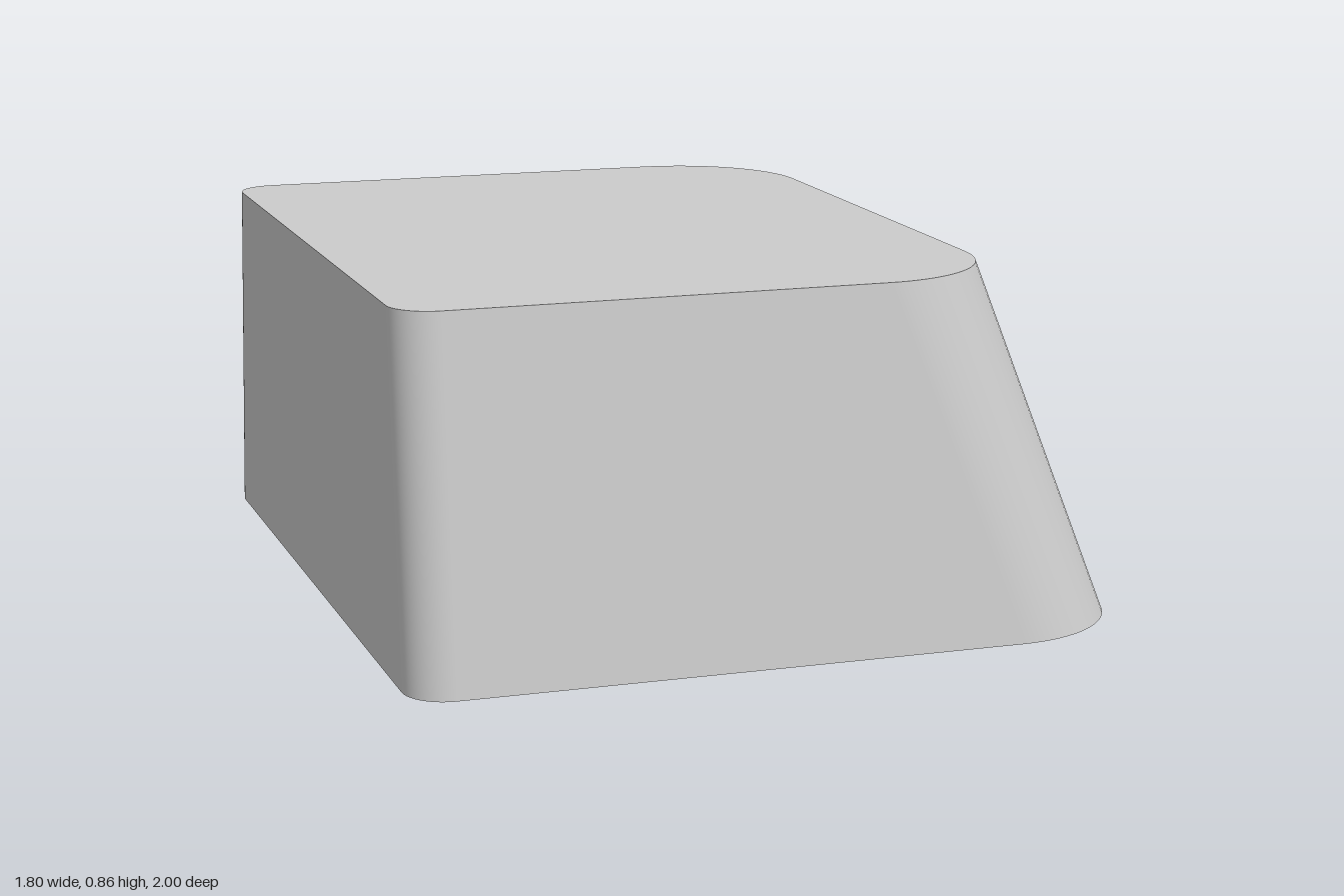
import * as THREE from 'three';

const HEIGHT = 0.855;
const SEGMENTS = 16; // per corner

// Rounded outline in x and z: small radii at the left, large ones at the right
function outline(x0, x1, halfZ, y) {
  const small = 0.1, large = 0.32;
  const corners = [
    [x1 - large, halfZ - large, large],
    [x0 + small, halfZ - small, small],
    [x0 + small, -halfZ + small, small],
    [x1 - large, -halfZ + large, large],
  ];
  const points = [];
  corners.forEach(([cx, cz, r], k) => {
    for (let i = 0; i <= SEGMENTS; i++) {
      const a = (k + i / SEGMENTS) * Math.PI / 2;
      points.push(new THREE.Vector3(cx + r * Math.cos(a), y, cz + r * Math.sin(a)));
    }
  });
  return points;
}

function indexed(points, index) {
  const geometry = new THREE.BufferGeometry().setFromPoints(points);
  geometry.setIndex(index);
  geometry.computeVertexNormals();
  return geometry;
}

// Smooth wall between two outlines
function wall(lower, upper) {
  const n = lower.length, index = [];
  for (let i = 0; i < n; i++) {
    const j = (i + 1) % n;
    index.push(i, n + i, n + j, i, n + j, j);
  }
  return indexed([...lower, ...upper], index);
}

// Flat fan closing an outline
function cap(loop, facesUp) {
  const n = loop.length, index = [];
  for (let i = 0; i < n; i++) {
    const j = (i + 1) % n;
    index.push(n, ...(facesUp ? [j, i] : [i, j]));
  }
  return indexed([...loop, new THREE.Vector3(0, loop[0].y, 0)], index);
}

export function createModel() {
  const grey = new THREE.MeshStandardMaterial({ color: 0xcccccc });
  grey.name = 'light grey';
  const group = new THREE.Group();
  group.name = 'taperedBlock';
  const add = (name, geometry) => {
    const mesh = new THREE.Mesh(geometry, grey);
    mesh.name = name;
    group.add(mesh);
  };

  // Left side is upright; the other three sides lean inwards
  const lower = outline(-0.887, 0.887, 0.987, 0);
  const upper = outline(-0.887, 0.575, 0.902, HEIGHT);
  add('sideWall', wall(lower, upper));
  add('topFace', cap(upper, true));
  add('baseFace', cap(lower, false));

  // The block sits slightly turned
  group.rotation.y = -0.016;
  return group;
}
